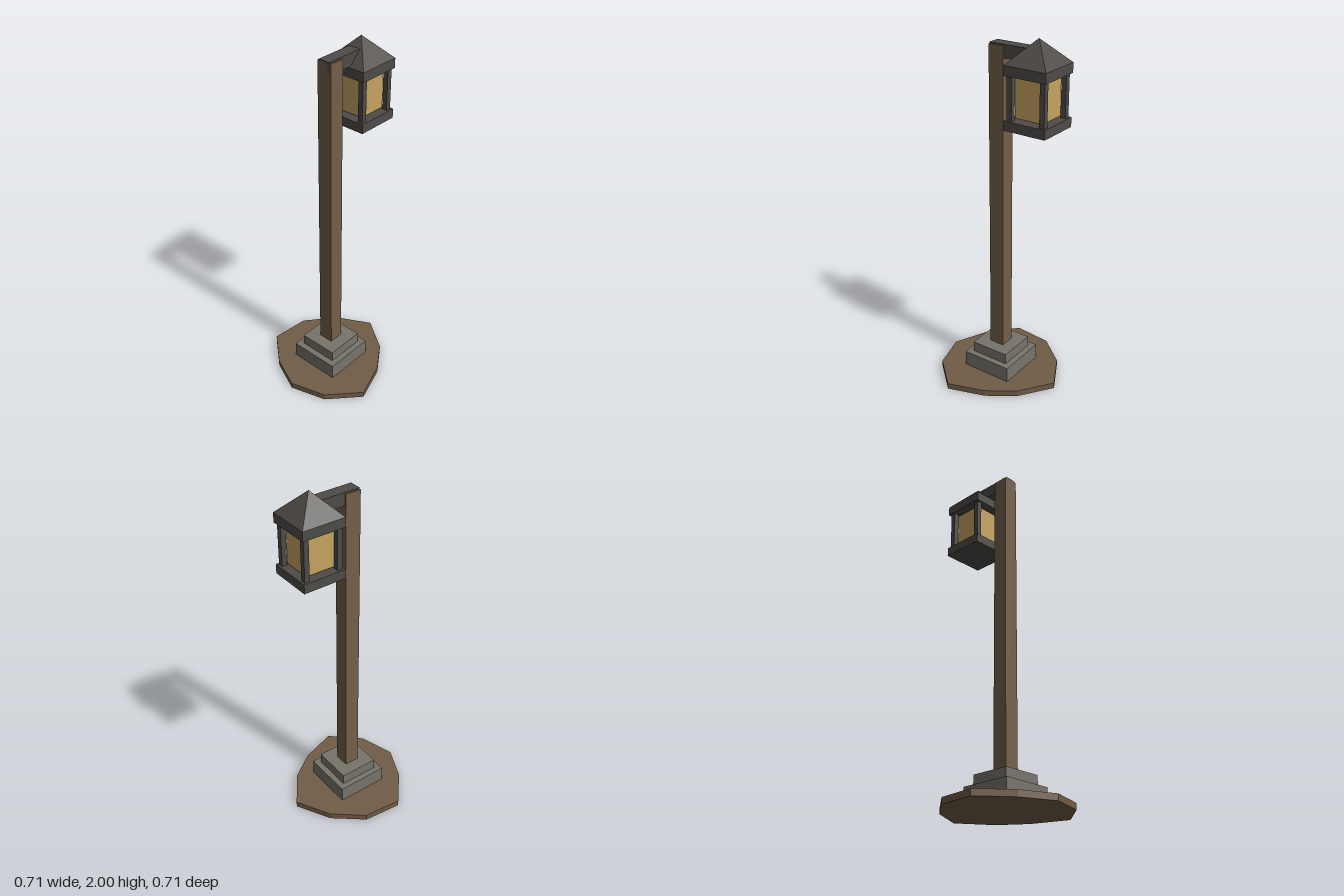
import * as THREE from 'three';

export function createModel() {
  const model = new THREE.Group();
  model.name = 'lampPost';

  const material = (name, color) => {
    const m = new THREE.MeshStandardMaterial({ color, flatShading: true });
    m.name = name;
    return m;
  };
  const earth = material('earth', 0x705c47);
  const wood = material('wood', 0x735f49);
  const stone = material('stone', 0x77746b);
  const iron = material('dark iron', 0x4e4b47);
  const glass = material('amber glass', 0xc6a261);

  const add = (name, geometry, mat, parent = model) => {
    const mesh = new THREE.Mesh(geometry, mat);
    mesh.name = name;
    parent.add(mesh);
    return mesh;
  };
  // Box with a square or rectangular plan, spanning y0 to y1
  const block = (name, mat, x, z, w, d, y0, y1, parent) =>
    add(name, new THREE.BoxGeometry(w, y1 - y0, d), mat, parent)
      .position.set(x, (y0 + y1) / 2, z);

  // Irregular ten-sided patch of ground, outline in x and z
  const outline = [
    [-0.13, -0.357], [0.09, -0.335], [0.253, -0.2], [0.357, -0.005], [0.23, 0.177],
    [0.078, 0.283], [-0.133, 0.353], [-0.298, 0.2], [-0.357, -0.005], [-0.273, -0.192],
  ];
  const patch = new THREE.Shape(outline.map(([x, z]) => new THREE.Vector2(x, -z)));
  const ground = new THREE.ExtrudeGeometry(patch, { depth: 0.035, bevelEnabled: false });
  ground.rotateX(-Math.PI / 2);
  add('groundPatch', ground, earth);

  // Stepped footing, post and arm
  const px = -0.0165, pz = -0.006;
  block('lowerFooting', stone, px, pz, 0.297, 0.297, 0.01, 0.125);
  block('upperFooting', stone, px, pz, 0.227, 0.229, 0.125, 0.187);
  block('post', wood, px, pz, 0.087, 0.087, 0.187, 1.943);
  block('arm', iron, 0.0515, pz, 0.223, 0.069, 1.88, 1.95);

  // Lantern hanging at the end of the arm
  const lantern = new THREE.Group();
  lantern.name = 'lantern';
  lantern.position.set(0.211, 0, -0.005);
  model.add(lantern);
  const width = 0.246;
  block('lanternBase', iron, 0, 0, width, width, 1.54, 1.592, lantern);
  block('lanternRim', iron, 0, 0, width, width, 1.821, 1.874, lantern);
  block('lanternGlass', glass, 0, 0, 0.164, 0.164, 1.602, 1.812, lantern);
  for (const sx of [-1, 1]) {
    for (const sz of [-1, 1]) {
      block('cornerBar', iron, sx * 0.097, sz * 0.097, 0.029, 0.029, 1.592, 1.821, lantern);
    }
  }

  // Four-sided pointed roof
  const roof = new THREE.ConeGeometry(width / Math.SQRT2, 0.126, 4);
  roof.rotateY(Math.PI / 4);
  add('lanternRoof', roof, iron, lantern).position.y = 1.937;

  return model;
}
